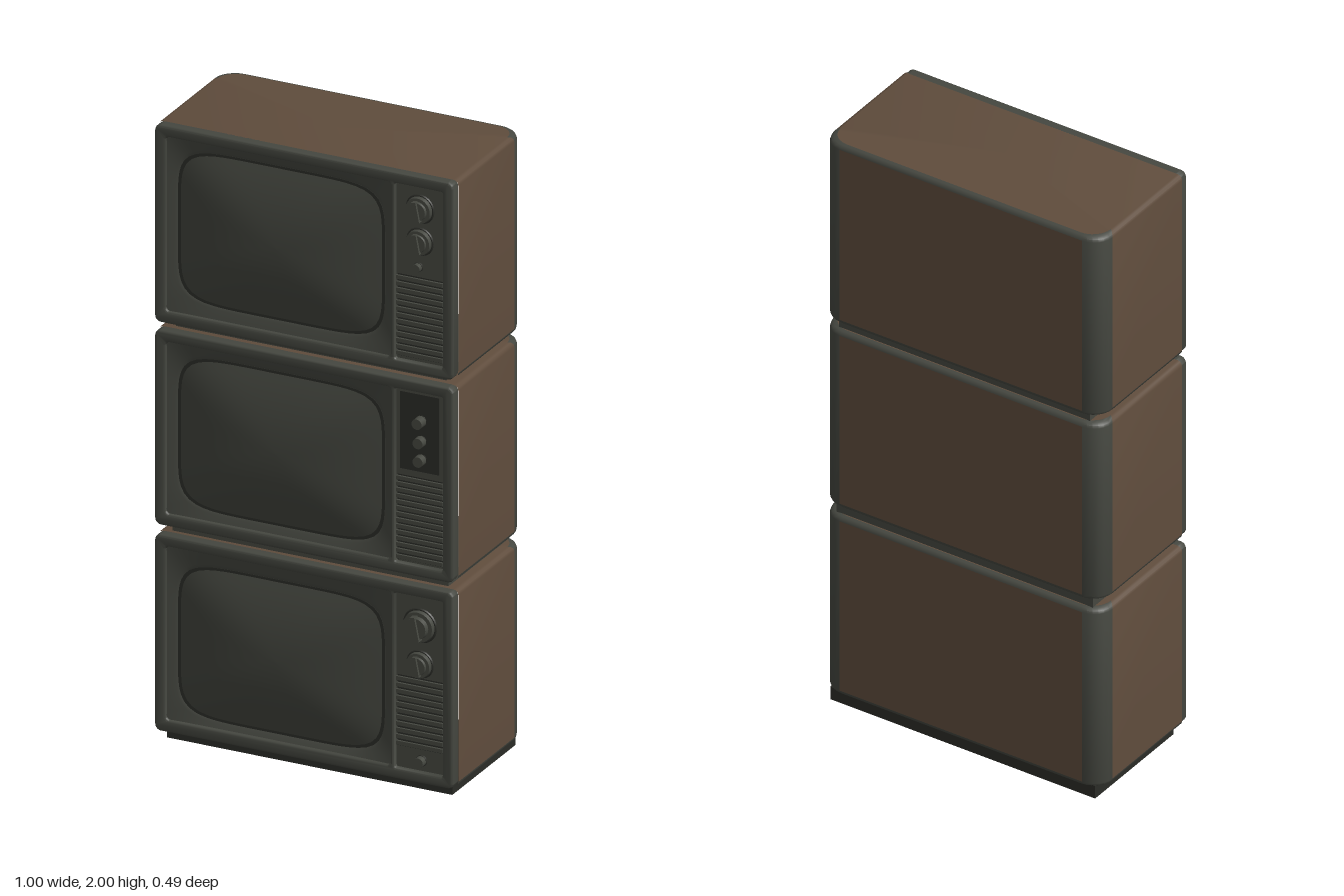
import * as THREE from 'three';
import { toCreasedNormals } from 'three/addons/utils/BufferGeometryUtils.js';

const mat = (name, color, side = THREE.FrontSide) => {
  const m = new THREE.MeshStandardMaterial({ color, side });
  m.name = name;
  return m;
};

const FRONT = 0.19, BACK = -0.245;

// Half plan of the cabinet: right side, rounded back corners, left side
function plan(inset, y) {
  const w = 0.5 - inset, b = BACK + inset, r = 0.065, pts = [[w, y, FRONT]];
  for (const s of [1, -1]) {
    for (let i = 0; i <= 6; i++) {
      const a = (s > 0 ? i : 6 - i) / 6 * Math.PI / 2;
      pts.push([s * (w - r + r * Math.cos(a)), y, b + r - r * Math.sin(a)]);
    }
  }
  pts.push([-w, y, FRONT]);
  return pts;
}

function triangles(list) {
  const g = new THREE.BufferGeometry();
  g.setAttribute('position', new THREE.Float32BufferAttribute(list.flat(), 3));
  g.computeVertexNormals();
  return toCreasedNormals(g, 0.6);
}

// Closed outline between an ellipse and a rectangle, sharper with larger n
function outline(cx, cy, a, b, n, z, scale = 1) {
  const pts = [];
  for (let i = 0; i < 96; i++) {
    const t = i / 96 * Math.PI * 2, c = Math.cos(t), s = Math.sin(t);
    const r = scale * Math.pow(Math.abs(c) ** n + Math.abs(s) ** n, -1 / n);
    pts.push([cx + a * r * c, cy + b * r * s, z]);
  }
  return pts;
}

// Surface joining outlines from the outside inwards
function loft(rings) {
  const n = rings[0].length, index = [];
  for (let k = 0; k < rings.length - 1; k++) {
    for (let i = 0; i < n; i++) {
      const j = (i + 1) % n, a = k * n + i, b = k * n + j;
      index.push(a, b, b + n, a, b + n, a + n);
    }
  }
  const g = new THREE.BufferGeometry();
  g.setAttribute('position', new THREE.Float32BufferAttribute(rings.flat(2), 3));
  g.setIndex(index);
  g.computeVertexNormals();
  return g;
}

function roundRect(path, x0, y0, x1, y1, r) {
  path.absarc(x1 - r, y0 + r, r, -Math.PI / 2, 0);
  path.absarc(x1 - r, y1 - r, r, 0, Math.PI / 2);
  path.absarc(x0 + r, y1 - r, r, Math.PI / 2, Math.PI);
  path.absarc(x0 + r, y0 + r, r, Math.PI, Math.PI * 1.5);
  path.closePath();
  return path;
}

export function createModel() {
  const brown = mat('cabinet brown', 0x5f4c3c);
  const grey = mat('casing grey', 0x454740);
  const glass = mat('screen grey', 0x42443d);
  const dark = mat('recess dark', 0x2b2c27);
  const model = new THREE.Group();
  model.name = 'televisionStack';

  const add = (parent, name, geo, material, x = 0, y = 0, z = 0) => {
    const m = new THREE.Mesh(geo, material);
    m.name = name;
    m.position.set(x, y, z);
    parent.add(m);
    return m;
  };
  const block = (parent, name, material, x0, x1, y0, y1, z0, z1) =>
    add(parent, name, new THREE.BoxGeometry(x1 - x0, y1 - y0, z1 - z0), material,
      (x0 + x1) / 2, (y0 + y1) / 2, (z0 + z1) / 2);

  // Brown shell with grey back corners and lower edges
  function cabinet(tv, y0, y1) {
    const e = 0.016, levels = [];
    for (let i = 0; i <= 3; i++) {
      const a = i / 3 * Math.PI / 2;
      levels.push(plan(e * (1 - Math.sin(a)), y0 + e * (1 - Math.cos(a))));
    }
    for (let i = 3; i >= 0; i--) {
      const a = i / 3 * Math.PI / 2;
      levels.push(plan(e * (1 - Math.sin(a)), y1 - e * (1 - Math.cos(a))));
    }
    const brownTris = [], greyTris = [];
    for (let k = 0; k < levels.length - 1; k++) {
      const lo = levels[k], hi = levels[k + 1];
      for (let i = 0; i < lo.length - 1; i++) {
        const corner = (i >= 1 && i <= 6) || (i >= 8 && i <= 13);
        const edge = k < 3 || (k > 3 && i === 7);
        (corner || edge ? greyTris : brownTris).push(
          ...lo[i], ...lo[i + 1], ...hi[i + 1], ...lo[i], ...hi[i + 1], ...hi[i]);
      }
    }
    const top = levels[levels.length - 1], bottom = levels[0];
    for (let i = 0; i < top.length; i++) {
      const j = (i + 1) % top.length;
      brownTris.push(0, y1, 0, ...top[i], ...top[j]);
      greyTris.push(0, y0, 0, ...bottom[j], ...bottom[i]);
    }
    add(tv, 'cabinetPanels', triangles(brownTris), brown);
    add(tv, 'cabinetCorners', triangles(greyTris), grey);
  }

  // Front frame, tube surround and bulging screen
  function face(tv, y0, y1, screenY) {
    const shape = roundRect(new THREE.Shape(), -0.497, y0, 0.497, y1, 0.02);
    shape.holes.push(roundRect(new THREE.Path(), -0.46, y0 + 0.04, 0.288, y1 - 0.035, 0.012));
    shape.holes.push(roundRect(new THREE.Path(), 0.302, y0 + 0.035, 0.462, y1 - 0.035, 0.006));
    const frame = new THREE.ExtrudeGeometry(shape, {
      depth: 0.024, bevelThickness: 0.008, bevelSize: 0.007, bevelOffset: -0.007,
      bevelSegments: 3, curveSegments: 5 });
    add(tv, 'frontFrame', toCreasedNormals(frame, 0.6), grey, 0, 0, 0.188);
    block(tv, 'backingPlate', grey, -0.48, 0.48, y0 + 0.02, y1 - 0.02, 0.17, 0.192);

    const cx = -0.082, a = 0.342, b = 0.247, cy = (y0 + y1) / 2;
    add(tv, 'screenSurround', loft([
      outline(-0.086, cy + 0.002, 0.385, (y1 - y0) / 2 - 0.026, 20, 0.212),
      outline(cx, screenY, a + 0.012, b + 0.012, 6, 0.204),
      outline(cx, screenY, a, b, 6, 0.196)]), grey);
    const rings = [];
    for (let i = 0; i <= 10; i++) {
      const r = 1 - i / 10;
      rings.push(outline(cx, screenY, a, b, 2 + 4 * r, 0.203 + 0.042 * (1 - r * r), r * 0.985));
    }
    add(tv, 'screen', loft(rings), glass);
    add(tv, 'screenSeam', loft([
      outline(cx, screenY, a + 0.003, b + 0.003, 6, 0.2035),
      outline(cx, screenY, a * 0.98, b * 0.98, 6, 0.2035)]), dark);
  }

  // Round control with a skirt and, when large, a grip bar
  function knob(tv, x, y, r, zTop) {
    const g = new THREE.Group();
    g.name = 'knob';
    const disc = (name, rad, z0, z1, m) => {
      const geo = new THREE.CylinderGeometry(rad * 0.93, rad, z1 - z0, 28);
      add(g, name, geo.rotateX(Math.PI / 2), m, x, y, (z0 + z1) / 2);
    };
    disc('knobShadowRing', r * 1.12, 0.2, 0.209, dark);
    disc('knobSkirt', r, 0.2, r > 0.03 ? 0.222 : zTop, grey);
    if (r > 0.03) {
      disc('knobCap', r * 0.7, 0.22, zTop - 0.008, grey);
      const grip = block(g, 'knobGrip', grey, x - r * 0.16, x + r * 0.16,
        y - r * 0.75, y + r * 0.75, 0.222, zTop);
      grip.rotation.z = 0.2;
    }
    tv.add(g);
  }

  // Speaker slots: dark backing with grey slats
  function grille(tv, y0, y1) {
    block(tv, 'grilleBacking', dark, 0.306, 0.458, y0, y1, 0.19, 0.207);
    const n = Math.round((y1 - y0) / 0.02), step = (y1 - y0) / n;
    for (let i = 0; i < n; i++) {
      const y = y0 + (i + 0.5) * step;
      block(tv, 'grilleSlat', grey, 0.304, 0.46, y - step * 0.3, y + step * 0.3, 0.2, 0.214);
    }
  }

  const sets = [
    { name: 'lowerTelevision', y0: 0.035, y1: 0.672, screen: 0.345, grille: [0.14, 0.37],
      knobs: [[0.38, 0.54, 0.052, 0.245], [0.38, 0.415, 0.042, 0.238], [0.385, 0.103, 0.017, 0.228]] },
    { name: 'middleTelevision', y0: 0.703, y1: 1.335, screen: 1.02, grille: [0.745, 1.02],
      panel: [1.04, 1.29],
      knobs: [[0.385, 1.205, 0.018, 0.238], [0.385, 1.14, 0.018, 0.232], [0.385, 1.08, 0.018, 0.232]] },
    { name: 'upperTelevision', y0: 1.36, y1: 2, screen: 1.687, grille: [1.405, 1.67],
      knobs: [[0.38, 1.89, 0.044, 0.238], [0.38, 1.785, 0.042, 0.236], [0.375, 1.702, 0.014, 0.224]] }
  ];
  for (const s of sets) {
    const tv = new THREE.Group();
    tv.name = s.name;
    cabinet(tv, s.y0, s.y1);
    face(tv, s.y0, s.y1, s.screen);
    block(tv, 'controlPanel', grey, 0.3, 0.465, s.y0 + 0.033, s.y1 - 0.033, 0.18, 0.204);
    if (s.panel) block(tv, 'controlInset', dark, 0.315, 0.445, ...s.panel, 0.19, 0.208);
    grille(tv, ...s.grille);
    for (const k of s.knobs) knob(tv, ...k);
    model.add(tv);
  }

  // Plinth and the recessed feet between the sets
  block(model, 'plinth', dark, -0.475, 0.475, 0, 0.045, -0.235, 0.18);
  block(model, 'lowerSpacer', grey, -0.46, 0.46, 0.665, 0.71, -0.225, 0.175);
  block(model, 'upperSpacer', grey, -0.45, 0.45, 1.33, 1.365, -0.225, 0.17);
  return model;
}
